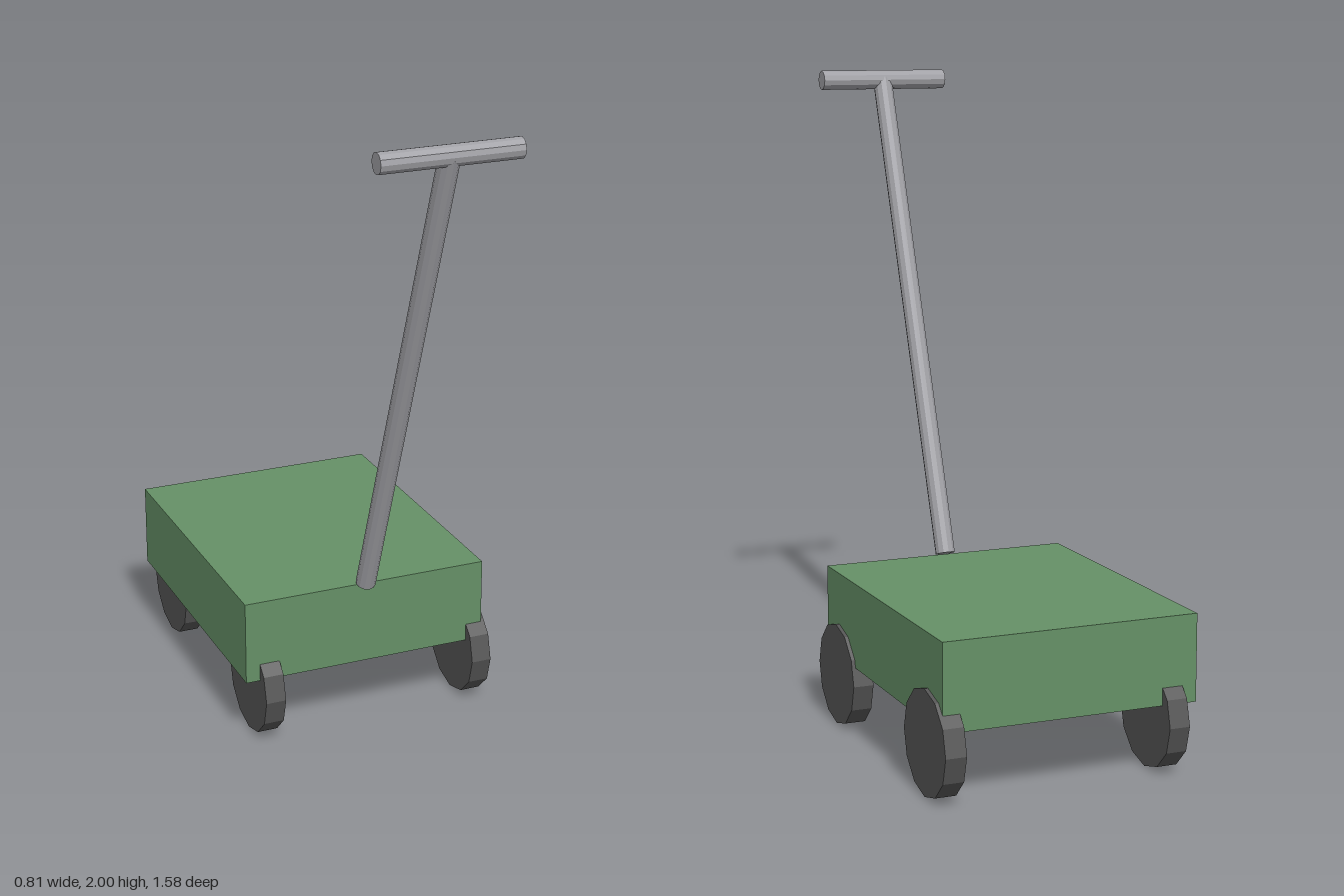
import * as THREE from 'three';

const paint = (color) => new THREE.MeshStandardMaterial({ color, flatShading: true });

export function createModel() {
  const cart = new THREE.Group();
  cart.name = 'pullCart';
  const green = paint(0x659066);
  const rubber = paint(0x555555);
  const metal = paint(0xa0a0a5);

  const add = (name, geometry, material, x, y, z) => {
    const mesh = new THREE.Mesh(geometry, material);
    mesh.name = name;
    mesh.position.set(x, y, z);
    cart.add(mesh);
    return mesh;
  };

  // Solid cart body
  add('body', new THREE.BoxGeometry(0.795, 0.265, 0.955), green, -0.008, 0.348, -0.263);

  // Four twelve-sided wheels, axles along x
  const wheel = new THREE.CylinderGeometry(0.159, 0.159, 0.064, 12).rotateZ(Math.PI / 2);
  for (const [side, x] of [['Right', -0.328], ['Left', 0.369]]) {
    add(`front${side}Wheel`, wheel, rubber, x, 0.16, 0.108);
    add(`rear${side}Wheel`, wheel, rubber, x, 0.16, -0.632);
  }

  // Leaning pole from the front edge of the body up to the grip
  const foot = new THREE.Vector3(-0.01, 0.483, 0.216);
  const head = new THREE.Vector3(-0.01, 1.97, 0.758);
  const direction = head.clone().sub(foot);
  const middle = foot.clone().lerp(head, 0.5);
  const pole = add('handlePole', new THREE.CylinderGeometry(0.031, 0.031, direction.length(), 12),
    metal, middle.x, middle.y, middle.z);
  pole.quaternion.setFromUnitVectors(new THREE.Vector3(0, 1, 0), direction.normalize());

  // Crosswise grip
  const grip = new THREE.CylinderGeometry(0.031, 0.031, 0.424, 12).rotateZ(Math.PI / 2);
  add('handleGrip', grip, metal, head.x, head.y, head.z);

  return cart;
}
